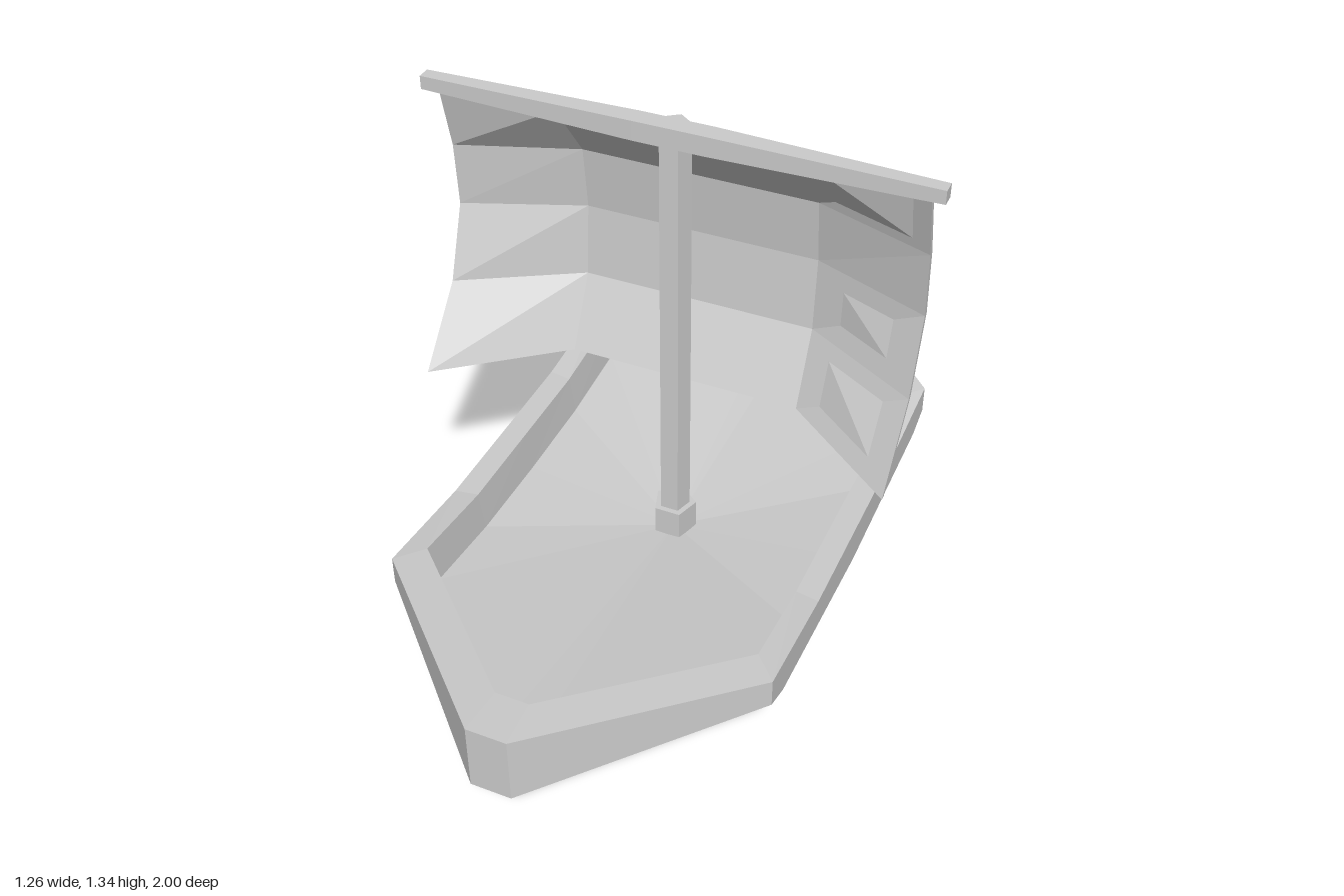
import * as THREE from 'three';

const grey = () => new THREE.MeshStandardMaterial({ color: 0xcccccc, flatShading: true, side: THREE.DoubleSide });

function part(name, geometry) {
  const mesh = new THREE.Mesh(geometry, grey());
  mesh.name = name;
  return mesh;
}

// Closed loop from bow-to-stern points on one side, mirrored to the other
const loop = (half) => [...half, ...half.map(([x, y, z]) => [-x, y, z]).reverse()];

function hullGeometry() {
  // Each line is [x, y, z] from bow to stern
  const keel = loop([[0.05, 0.2, 1], [0.05, 0.12, 0.86], [0.05, 0.06, 0.5], [0.05, 0, 0],
    [0.05, 0.06, -0.5], [0.05, 0.12, -0.72], [0.05, 0.2, -0.88]]);
  const chine = loop([[0.05, 0.2, 1], [0.49, 0.26, 0.575], [0.49, 0.233, 0.5], [0.49, 0.205, 0],
    [0.49, 0.233, -0.5], [0.49, 0.26, -0.575], [0.05, 0.2, -0.88]]);
  const rim = loop([[0.05, 0.38, 1], [0.49, 0.335, 0.575], [0.49, 0.305, 0.27], [0.49, 0.305, 0],
    [0.49, 0.305, -0.27], [0.49, 0.335, -0.575], [0.05, 0.38, -1]]);
  const innerRim = loop([[0.042, 0.375, 0.88], [0.43, 0.335, 0.51], [0.43, 0.305, 0.26], [0.43, 0.305, 0],
    [0.43, 0.305, -0.26], [0.43, 0.335, -0.51], [0.042, 0.375, -0.88]]);
  const floorEdge = loop([[0.04, 0.25, 0.845], [0.415, 0.225, 0.495], [0.415, 0.2, 0.26], [0.415, 0.195, 0],
    [0.415, 0.2, -0.26], [0.415, 0.225, -0.495], [0.04, 0.25, -0.845]]);
  const centre = floorEdge.map(() => [0, 0.14, 0]);

  const pos = [];
  const quad = (a, b, c, d) => pos.push(...a, ...b, ...c, ...a, ...c, ...d);
  // Sides, rim, inner wall and floor as strips between neighbouring loops
  const loops = [keel, chine, rim, innerRim, floorEdge, centre];
  const n = keel.length;
  for (let k = 0; k < loops.length - 1; k++) {
    for (let i = 0; i < n; i++) {
      const j = (i + 1) % n;
      quad(loops[k][i], loops[k][j], loops[k + 1][j], loops[k + 1][i]);
    }
  }
  // Flat bottom strip
  for (let i = 0; i < n / 2 - 1; i++) {
    quad(keel[i], keel[n - 1 - i], keel[n - 2 - i], keel[i + 1]);
  }
  const g = new THREE.BufferGeometry();
  g.setAttribute('position', new THREE.Float32BufferAttribute(pos, 3));
  g.computeVertexNormals();
  return g;
}

// Five-sided post with a flat front
function post(radius, bottom, top) {
  const g = new THREE.CylinderGeometry(radius, radius, top - bottom, 5, 1, false, Math.PI);
  return g.translate(0, (top + bottom) / 2, 0);
}

// Spar, thicker in the middle
function yardGeometry() {
  const g = new THREE.BoxGeometry(1.26, 1, 1, 7, 1, 1);
  const p = g.attributes.position;
  for (let i = 0; i < p.count; i++) {
    const t = Math.min(1, Math.max(0, (Math.abs(p.getX(i)) - 0.09) / 0.54));
    p.setY(i, 1.319 + p.getY(i) * (0.05 - 0.016 * t));
    p.setZ(i, 0.01 + p.getZ(i) * (0.05 - 0.016 * t));
  }
  g.computeVertexNormals();
  return g;
}

// Thin slab, bellied backwards with its lower corners swept forward
function sailGeometry() {
  const rows = 4;
  const height = [0.59, 0.77, 0.96, 1.13, 1.3];
  const middle = [-0.06, -0.15, -0.165, -0.145, -0.015];
  const edge = [0.172, 0.018, -0.05, -0.04, 0];
  const g = new THREE.BoxGeometry(1.19, 1, 0.014, 3, rows, 1);
  const p = g.attributes.position;
  for (let i = 0; i < p.count; i++) {
    const row = Math.round((p.getY(i) + 0.5) * rows);
    const outer = Math.abs(p.getX(i)) > 0.4;
    if (!outer) p.setX(i, Math.sign(p.getX(i)) * 0.3);
    p.setY(i, height[row]);
    p.setZ(i, p.getZ(i) + (outer ? edge : middle)[row]);
  }
  g.computeVertexNormals();
  return g;
}

export function createModel() {
  const boat = new THREE.Group();
  boat.name = 'sailboat';
  boat.add(
    part('hull', hullGeometry()),
    part('mastCollar', post(0.057, 0.12, 0.225)),
    part('mast', post(0.04, 0.12, 1.342)),
    part('yard', yardGeometry()),
    part('sail', sailGeometry()),
  );
  return boat;
}
